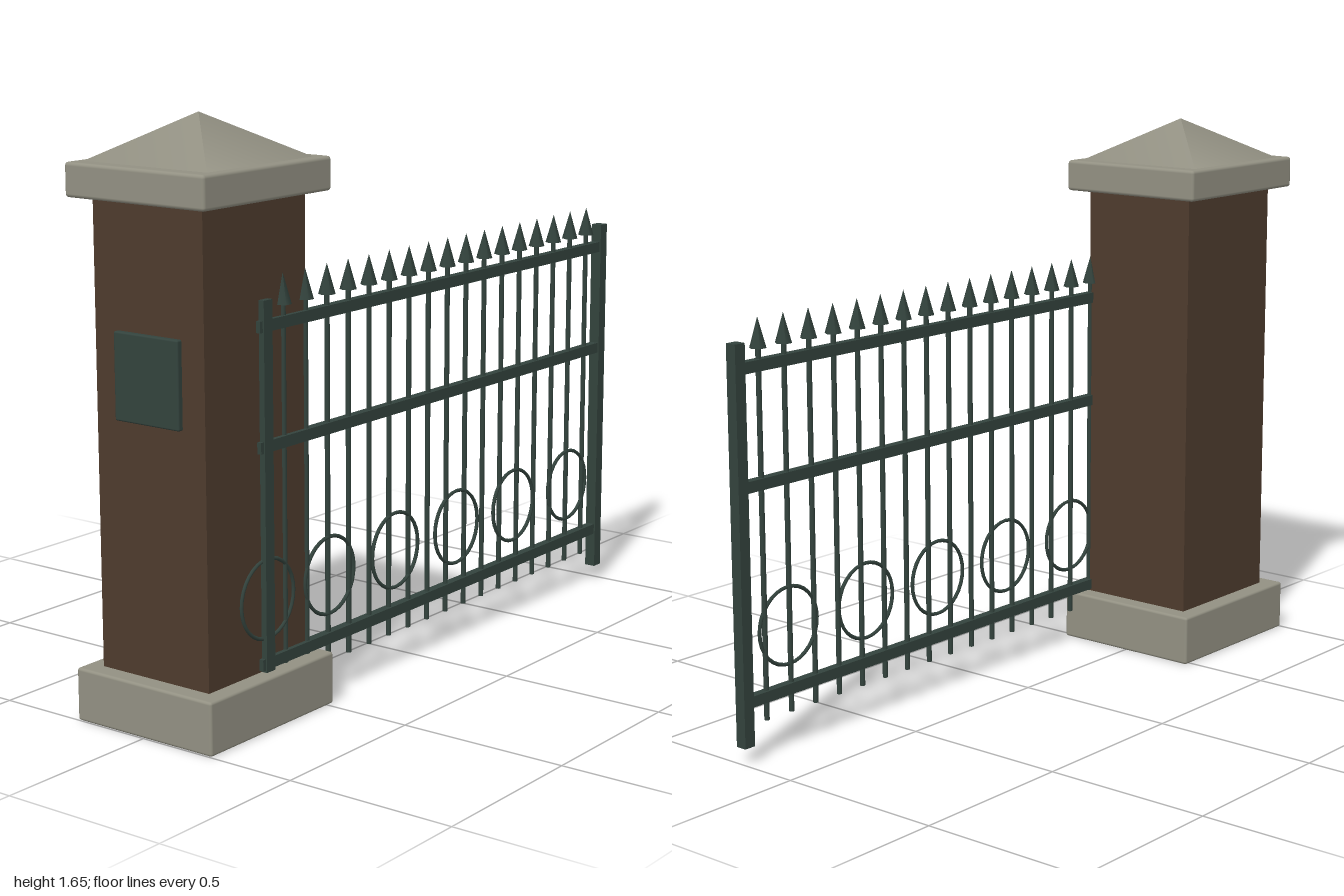
import * as THREE from 'three';
import { RoundedBoxGeometry } from 'three/addons/geometries/RoundedBoxGeometry.js';

const material = (name, color) => new THREE.MeshStandardMaterial({ name, color });

export function createModel() {
  const brick = material('brown brick', 0x4e3b2d);
  const stone = material('pale stone', 0x939183);
  const iron = material('dark green iron', 0x33433d);

  const model = new THREE.Group();
  model.name = 'gatePillarAndFence';

  const add = (parent, name, geometry, mat, x, y, z) => {
    const mesh = new THREE.Mesh(geometry, mat);
    mesh.name = name;
    mesh.position.set(x, y, z);
    parent.add(mesh);
    return mesh;
  };

  // Pillar: stone foot, brick shaft, stone slab and pyramid roof
  const pillar = new THREE.Group();
  pillar.name = 'pillar';
  pillar.position.z = 0.738;
  model.add(pillar);
  add(pillar, 'pillarBase', new RoundedBoxGeometry(0.476, 0.15, 0.524, 2, 0.008), stone, 0, 0.075, 0);
  add(pillar, 'pillarShaft', new THREE.BoxGeometry(0.375, 1.31, 0.418), brick, 0, 0.79, 0);
  add(pillar, 'capSlab', new RoundedBoxGeometry(0.476, 0.093, 0.524, 2, 0.01), stone, 0, 1.481, 0);
  const roof = new THREE.ConeGeometry(Math.SQRT2, 0.126, 4).rotateY(Math.PI / 4).scale(0.215, 1, 0.22);
  add(pillar, 'capRoof', roof, stone, 0, 1.588, 0);
  add(pillar, 'plaque', new RoundedBoxGeometry(0.222, 0.24, 0.022, 2, 0.005), iron, 0, 0.969, 0.214);

  // Fence panel runs back from the pillar's left face
  const fence = new THREE.Group();
  fence.name = 'fence';
  fence.position.x = 0.188;
  model.add(fence);

  const postGeometry = new THREE.BoxGeometry(0.034, 1.122, 0.036);
  for (const z of [0.709, -0.982]) add(fence, 'fencePost', postGeometry, iron, 0, 0.608, z);

  const railGeometry = new THREE.BoxGeometry(0.026, 0.032, 1.718);
  for (const y of [0.172, 0.773, 1.099]) add(fence, 'fenceRail', railGeometry, iron, 0, y, -0.121);

  // Upright bars, each with a spear point
  const barGeometry = new THREE.CylinderGeometry(0.0075, 0.0075, 1.05, 8);
  const spikeGeometry = new THREE.ConeGeometry(0.024, 0.085, 6);
  for (let i = 0; i < 17; i++) {
    const z = 0.626 - i * 0.0954;
    add(fence, 'fenceBar', barGeometry, iron, 0, 0.627, z);
    add(fence, 'spearPoint', spikeGeometry, iron, 0, 1.187, z);
  }

  // Ornamental rings along the bottom
  const ringGeometry = new THREE.TorusGeometry(0.111, 0.0055, 6, 32).rotateY(Math.PI / 2);
  for (const z of [0.703, 0.43, 0.12, -0.19, -0.498, -0.808]) {
    add(fence, 'ornamentRing', ringGeometry, iron, 0.002, 0.351, z);
  }

  return model;
}
